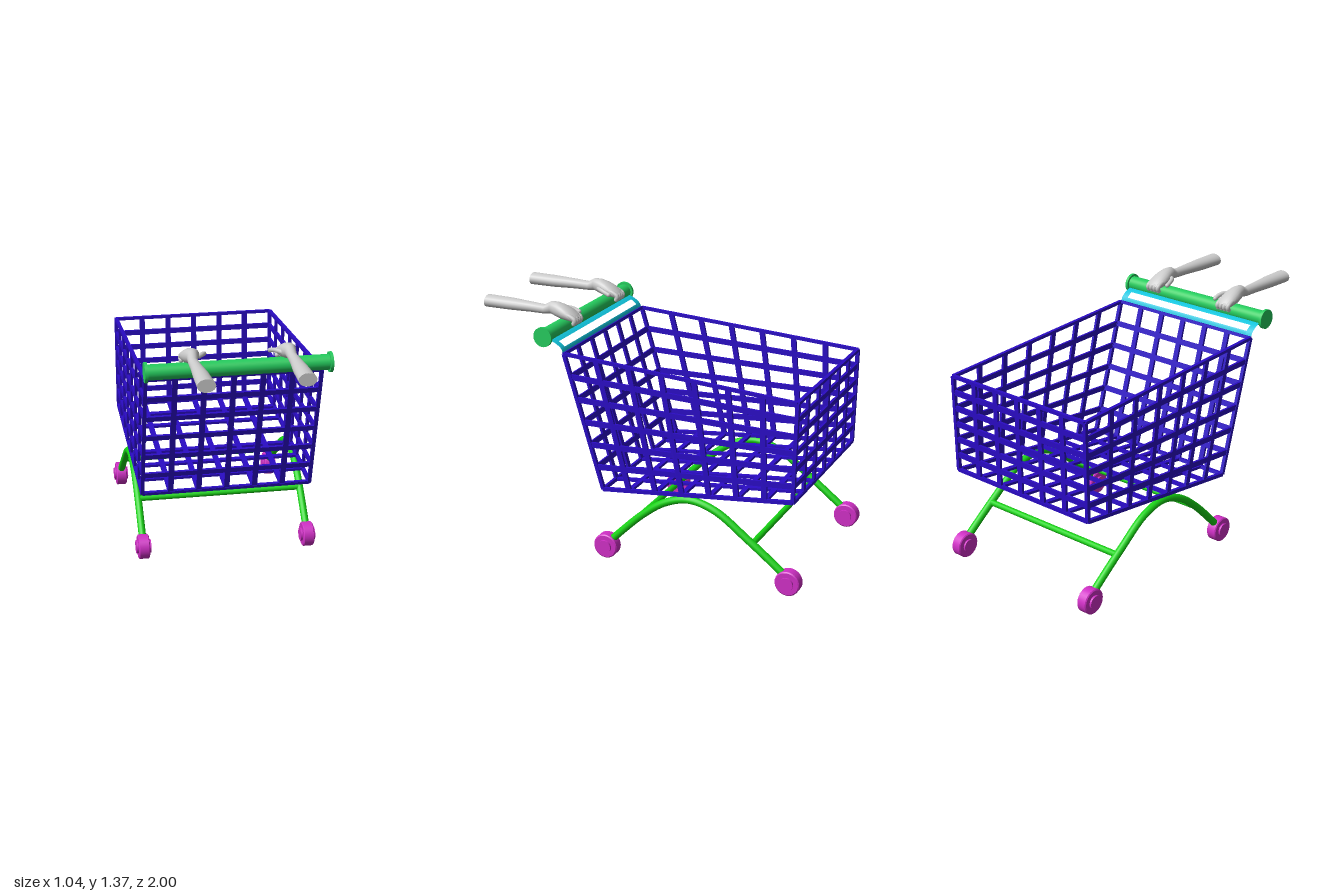
import * as THREE from 'three';
import { mergeGeometries } from 'three/addons/utils/BufferGeometryUtils.js';

const V = (x, y, z) => new THREE.Vector3(x, y, z);
const mat = (color, side = THREE.FrontSide) => new THREE.MeshStandardMaterial({ color, side });
const BLUE = mat(0x2a0bc4), GREEN = mat(0x17d414), MAGENTA = mat(0xd030c6);
const HANDLE = mat(0x25cc5e), CYAN = mat(0x10c4dc, THREE.DoubleSide), GREY = mat(0xcccccc);

function add(parent, name, geometry, material) {
  const mesh = new THREE.Mesh(geometry, material);
  mesh.name = name;
  parent.add(mesh);
  return mesh;
}

// Flat bar from a to b; w lies in the panel, t along the panel normal
function bar(a, b, normal, w, t) {
  const dir = b.clone().sub(a);
  const g = new THREE.BoxGeometry(w, t, dir.length());
  const z = dir.normalize();
  const x = normal.clone().cross(z).normalize();
  const m = new THREE.Matrix4().makeBasis(x, z.clone().cross(x), z);
  return g.applyMatrix4(m.setPosition(a.clone().add(b).multiplyScalar(0.5)));
}

// Grid of bars over a quad: a-b and d-c are opposite edges
function gridPanel(a, b, c, d, nu, nv) {
  const at = (u, v) => a.clone().lerp(b, u).lerp(d.clone().lerp(c, u), v);
  const n = b.clone().sub(a).cross(d.clone().sub(a)).normalize();
  const bars = [];
  for (let i = 0; i <= nu; i++) {
    const rim = i === 0 || i === nu;
    bars.push(bar(at(i / nu, 0), at(i / nu, 1), n, rim ? 0.02 : 0.03, rim ? 0.02 : 0.014));
  }
  for (let j = 0; j <= nv; j++) {
    const rim = j === 0 || j === nv;
    bars.push(bar(at(0, j / nv), at(1, j / nv), n, rim ? 0.017 : 0.03, rim ? 0.02 : 0.014));
  }
  return mergeGeometries(bars);
}

// Closed loft through elliptical rings [x, y, z, rx, ry], running along z
function loft(rings, seg = 20) {
  const pos = [], index = [];
  for (const [x, y, z, rx, ry] of rings)
    for (let i = 0; i < seg; i++) {
      const a = (i / seg) * Math.PI * 2;
      pos.push(x + rx * Math.cos(a), y + ry * Math.sin(a), z);
    }
  for (let r = 0; r < rings.length - 1; r++)
    for (let i = 0; i < seg; i++) {
      const j = (i + 1) % seg, p = r * seg, q = p + seg;
      index.push(p + i, q + i, p + j, p + j, q + i, q + j);
    }
  // End caps with their own vertices for crisp edges
  [0, rings.length - 1].forEach((r, e) => {
    const base = pos.length / 3;
    pos.push(...pos.slice(r * seg * 3, (r + 1) * seg * 3));
    for (let i = 1; i < seg - 1; i++)
      index.push(base, base + i + e, base + i + 1 - e);
  });
  const g = new THREE.BufferGeometry();
  g.setAttribute('position', new THREE.Float32BufferAttribute(pos, 3));
  g.setIndex(index);
  g.computeVertexNormals();
  return g;
}

// Basket: sloped near panel, tall near end, open top
function basket() {
  const g = new THREE.Group();
  g.name = 'basket';
  const X = 0.478;
  const P = (s, [z, y]) => V(s * X, y, z);
  const nearTop = [0.395, 1.157], nearLow = [0.168, 0.405], farTop = [-0.95, 1.083], farLow = [-0.94, 0.532];
  for (const s of [-1, 1])
    add(g, s > 0 ? 'leftSideGrid' : 'rightSideGrid',
      gridPanel(P(s, nearLow), P(s, farLow), P(s, farTop), P(s, nearTop), 7, 6), BLUE);
  add(g, 'handleEndGrid', gridPanel(P(-1, nearLow), P(1, nearLow), P(1, nearTop), P(-1, nearTop), 6, 6), BLUE);
  add(g, 'farEndGrid', gridPanel(P(-1, farLow), P(1, farLow), P(1, farTop), P(-1, farTop), 6, 6), BLUE);
  add(g, 'bottomGrid', gridPanel(P(-1, nearLow), P(1, nearLow), P(1, farLow), P(-1, farLow), 6, 7), BLUE);
  return g;
}

// Arched side tubes joined by two cross rods
function frame() {
  const g = new THREE.Group();
  g.name = 'frame';
  const path = [[0.15, 0.08], [0.11, 0.12], [-0.075, 0.3], [-0.21, 0.395], [-0.35, 0.435],
    [-0.5, 0.4], [-0.69, 0.27], [-0.875, 0.13], [-0.93, 0.085]];
  for (const s of [-1, 1]) {
    const curve = new THREE.CatmullRomCurve3(path.map(([z, y]) => V(s * 0.476, y, z)));
    add(g, 'archedLeg', new THREE.TubeGeometry(curve, 60, 0.021, 14), GREEN);
  }
  for (const [z, y] of [[-0.05, 0.28], [-0.72, 0.252]]) {
    const rod = new THREE.CylinderGeometry(0.017, 0.017, 0.95, 14).rotateZ(Math.PI / 2);
    add(g, 'crossRod', rod, GREEN).position.set(0, y, z);
  }
  return g;
}

function wheel() {
  const g = new THREE.Group();
  g.name = 'wheel';
  const tire = [[0, -0.031], [0.064, -0.031], [0.07, -0.026], [0.07, 0.026], [0.064, 0.031], [0, 0.031]];
  // Repeated points keep the rim edges sharp
  const sharp = tire.flatMap(p => [p, p]).slice(1, -1).map(([r, h]) => new THREE.Vector2(r, h));
  add(g, 'tire', new THREE.LatheGeometry(sharp, 32).rotateZ(Math.PI / 2), MAGENTA);
  add(g, 'hub', new THREE.CylinderGeometry(0.038, 0.038, 0.084, 28).rotateZ(Math.PI / 2), MAGENTA);
  return g;
}

// Push bar with end caps, on a thin curved bracket
function handle() {
  const g = new THREE.Group();
  g.name = 'handle';
  const rod = (r, len) => new THREE.CylinderGeometry(r, r, len, 36).rotateZ(Math.PI / 2);
  add(g, 'pushBar', rod(0.042, 0.98), HANDLE).position.set(0, 1.24, 0.515);
  for (const s of [-1, 1])
    add(g, 'endCap', rod(0.055, 0.016), HANDLE).position.set(s * 0.492, 1.24, 0.515);

  const curve = new THREE.CatmullRomCurve3([V(0, 1.155, 0.398), V(0, 1.185, 0.412), V(0, 1.207, 0.44), V(0, 1.222, 0.475), V(0, 1.228, 0.51)]);
  // Strip of the bracket between two x and two path positions
  const strip = (x0, x1, t0, t1) => {
    const geo = new THREE.PlaneGeometry(1, 1, 1, 10), p = geo.attributes.position;
    for (let i = 0; i < p.count; i++) {
      const c = curve.getPoint(t0 + (t1 - t0) * (0.5 - p.getY(i)));
      p.setXYZ(i, p.getX(i) < 0 ? x0 : x1, c.y, c.z);
    }
    geo.computeVertexNormals();
    return geo;
  };
  const bracket = [strip(-0.48, -0.44, 0, 1), strip(0.44, 0.48, 0, 1),
    strip(-0.44, 0.44, 0, 0.25), strip(-0.44, 0.44, 0.55, 1)];
  add(g, 'bracket', mergeGeometries(bracket), CYAN);
  return g;
}

// Forearm and hand resting on the bar; side +1 is the left one
function arm(side) {
  const g = new THREE.Group();
  g.name = side > 0 ? 'leftArm' : 'rightArm';
  const x = 0.257;
  const mirror = p => [p[0] * side, ...p.slice(1)];
  add(g, 'forearmAndPalm', loft([
    [0.254, 1.322, 1.0, 0.048, 0.035], [0.255, 1.322, 0.85, 0.042, 0.034], [0.258, 1.322, 0.72, 0.031, 0.029],
    [0.26, 1.32, 0.63, 0.026, 0.026], [x, 1.335, 0.59, 0.03, 0.035], [x, 1.328, 0.55, 0.041, 0.043],
    [x, 1.318, 0.51, 0.05, 0.042], [x, 1.307, 0.47, 0.051, 0.034], [x, 1.292, 0.435, 0.046, 0.024],
    [x, 1.285, 0.422, 0.036, 0.014],
  ].map(mirror)), GREY);
  // Fingers curl over the bar
  for (let i = 0; i < 4; i++) {
    const fx = side * (0.221 + i * 0.024);
    const curve = new THREE.CatmullRomCurve3([V(fx, 1.318, 0.49), V(fx, 1.303, 0.448), V(fx, 1.286, 0.426), V(fx, 1.268, 0.434)]);
    add(g, 'finger', new THREE.TubeGeometry(curve, 10, 0.0135, 10), GREY);
    add(g, 'fingertip', new THREE.SphereGeometry(0.0135, 10, 8), GREY).position.copy(curve.points[3]);
  }
  // Thumb on the inner side
  const t = [[0.225, 1.32, 0.55], [0.193, 1.325, 0.522], [0.179, 1.315, 0.485], [0.177, 1.305, 0.46]].map(p => V(...mirror(p)));
  add(g, 'thumb', new THREE.TubeGeometry(new THREE.CatmullRomCurve3(t), 12, 0.0125, 10), GREY);
  add(g, 'thumbTip', new THREE.SphereGeometry(0.0125, 10, 8), GREY).position.copy(t[3]);
  return g;
}

export function createModel() {
  const model = new THREE.Group();
  model.name = 'shoppingCart';
  model.add(basket(), frame(), handle(), arm(1), arm(-1));
  for (const s of [-1, 1])
    for (const z of [0.15, -0.93]) {
      const w = wheel();
      w.position.set(s * 0.476, 0.07, z);
      model.add(w);
    }
  return model;
}
